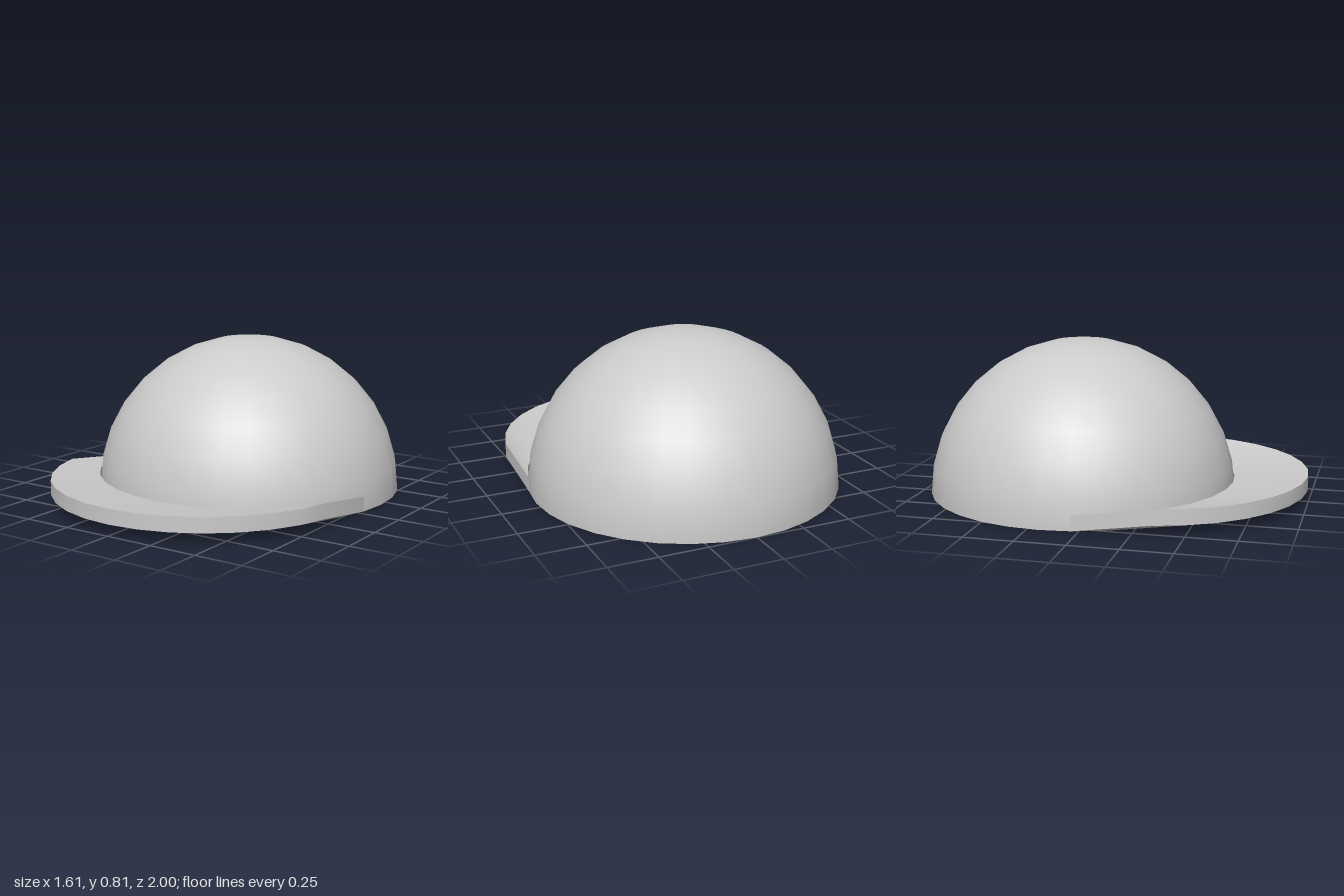
import * as THREE from 'three';
import { toCreasedNormals } from 'three/addons/utils/BufferGeometryUtils.js';

const R = 0.805, SIDES = 32, CENTRE_Z = -0.195;
const RECESS_R = 0.732, RECESS_H = 0.09;

// Peak: the front of the rim swept forwards and slightly upwards, with a constant thickness
function peakGeometry() {
  const reach = 0.385, rise = 0.055, thick = 0.077, half = 7;
  const positions = [], index = [];
  const quad = (a, b, c, d) => index.push(a, b, c, a, c, d);
  for (let i = -half; i <= half; i++) {
    const angle = (i / SIDES) * Math.PI * 2;
    const x = R * Math.sin(angle), z = R * Math.cos(angle);
    positions.push(x, 0, z, x, rise, z + reach, x, rise + thick, z + reach, x, thick, z);
  }
  const last = half * 2 * 4;
  for (let s = 0; s < last; s += 4) {
    for (let j = 0; j < 4; j++) {
      const k = (j + 1) % 4;
      quad(s + j, s + 4 + j, s + 4 + k, s + k);
    }
  }
  // Side ends
  quad(0, 1, 2, 3);
  quad(last, last + 3, last + 2, last + 1);
  const geometry = new THREE.BufferGeometry();
  geometry.setAttribute('position', new THREE.Float32BufferAttribute(positions, 3));
  geometry.setIndex(index);
  return toCreasedNormals(geometry, Math.PI / 6);
}

export function createModel() {
  const model = new THREE.Group();
  model.name = 'cap';
  const smooth = new THREE.MeshStandardMaterial({ color: 0xcccccc });
  const inside = new THREE.MeshStandardMaterial({ color: 0xcccccc, flatShading: true, side: THREE.DoubleSide });
  const add = (name, geometry, material, y = 0) => {
    const mesh = new THREE.Mesh(geometry, material);
    mesh.name = name;
    mesh.position.set(0, y, CENTRE_Z);
    model.add(mesh);
    return mesh;
  };

  // Crown
  add('crown', new THREE.SphereGeometry(R, SIDES, 8, 0, Math.PI * 2, 0, Math.PI / 2), smooth);

  // Recess under the crown: sloping inner band and flat lining
  add('innerBand', new THREE.CylinderGeometry(RECESS_R, R, RECESS_H, SIDES, 1, true), inside, RECESS_H / 2);
  add('lining', new THREE.CircleGeometry(RECESS_R, SIDES).rotateX(Math.PI / 2), inside, RECESS_H);

  add('peak', peakGeometry(), smooth);
  return model;
}
